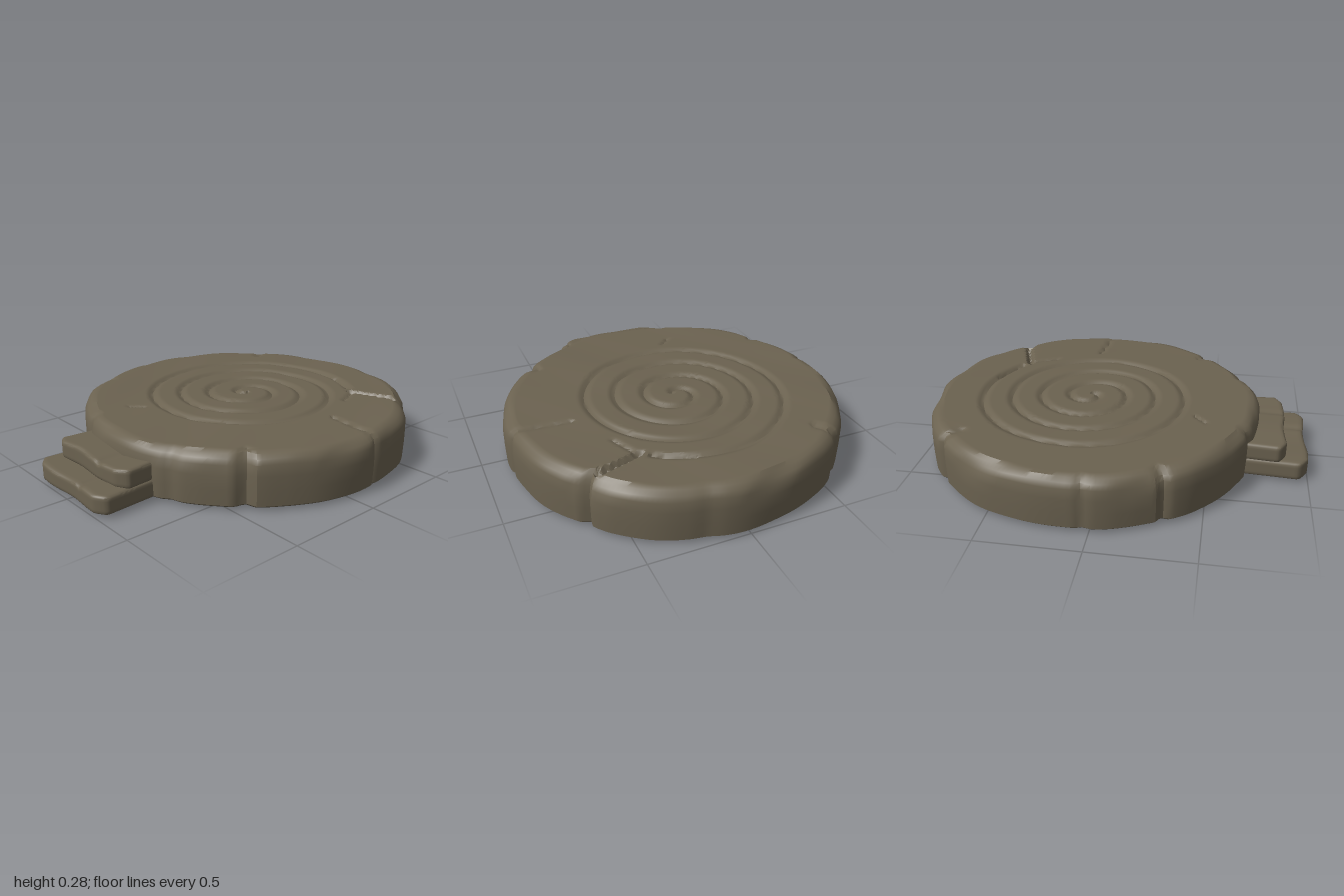
import * as THREE from 'three';
import { mergeVertices, toCreasedNormals } from 'three/addons/utils/BufferGeometryUtils.js';

const CZ = -0.125; // centre of the round slab along z
const SPIRAL = { x: -0.01, z: -0.15, pitch: 0.155, turns: 3.85 };

// Chips in the rim: x, z, depth, angular half width
const NOTCHES = [
  [0.67, -0.69, 0.03, 0.035], [0.87, -0.17, 0.012, 0.03], [0.65, 0.47, 0.035, 0.06],
  [0.36, 0.67, 0.012, 0.06], [-0.28, 0.72, 0.015, 0.05], [-0.76, 0.33, 0.025, 0.04],
  [-0.87, -0.03, 0.012, 0.04], [-0.57, -0.78, 0.022, 0.04], [0.2, -0.97, 0.006, 0.08],
].map(([x, z, depth, width]) => ({ a: Math.atan2(z - CZ, x), depth, width }));

// Cracks in the top: x1, z1, x2, z2, depth, half width
const CRACKS = [
  [0.36, -0.585, 0.70, -0.70, 0.035, 0.022], [0.57, -0.20, 0.90, -0.17, 0.014, 0.018],
  [0.14, -0.71, 0.28, -0.64, 0.014, 0.016], [-0.24, 0.48, -0.18, 0.42, 0.012, 0.014],
  [-0.59, -0.80, -0.50, -0.70, 0.018, 0.03], [0.68, 0.50, 0.58, 0.40, 0.018, 0.03],
  [-0.80, 0.36, -0.70, 0.28, 0.014, 0.03], [0.38, -0.58, 0.44, -0.44, 0.012, 0.018],
];

const vee = (d, w) => Math.max(0, 1 - Math.abs(d) / w);

function rimRadius(a) {
  let r = 0.872 + 0.004 * Math.sin(5 * a + 1) + 0.003 * Math.sin(11 * a) + 0.002 * Math.sin(17 * a + 2);
  for (const n of NOTCHES) {
    const d = Math.atan2(Math.sin(a - n.a), Math.cos(a - n.a));
    r -= n.depth * vee(d, n.width) + n.depth * 0.3 * vee(d, n.width * 4);
  }
  return r;
}

function segmentDistance(x, z, [x1, z1, x2, z2]) {
  const dx = x2 - x1, dz = z2 - z1;
  const t = THREE.MathUtils.clamp(((x - x1) * dx + (z - z1) * dz) / (dx * dx + dz * dz), 0, 1);
  return Math.hypot(x - x1 - t * dx, z - z1 - t * dz);
}

// Distance to the nearest turn of the spiral
function spiralDistance(x, z, turns) {
  const dx = x - SPIRAL.x, dz = z - SPIRAL.z;
  const r = Math.hypot(dx, dz);
  const f = (Math.atan2(dz, dx) / (2 * Math.PI) + 1) % 1;
  let best = 1;
  for (let t = f; t < turns; t += 1) best = Math.min(best, Math.abs(r - Math.min(SPIRAL.pitch * t, 0.575)));
  return best;
}

function topHeight(x, z) {
  let y = 0.275 + 0.003 * Math.sin(5 * x + 1) * Math.cos(6 * z) + 0.0015 * Math.sin(13 * x - 9 * z);
  y -= 0.016 * vee(spiralDistance(x, z, SPIRAL.turns), 0.03);
  for (const c of CRACKS) y -= c[4] * vee(segmentDistance(x, z, c), c[5]);
  return y;
}

// Low coil showing on the underside
function bottomHeight(x, z) {
  const r = Math.hypot(x + 0.02, z - CZ);
  return 0.012 - 0.012 * Math.max(vee(r - 0.075, 0.025), vee(r - 0.02, 0.02)) - 0.002 * vee(r - 0.15, 0.02);
}

function slabGeometry() {
  const N = 240;
  const rows = [];
  // Underside, from the centre out
  for (const r of [0, 0.02, 0.035, 0.05, 0.065, 0.075, 0.09, 0.105, 0.13, 0.15, 0.17, 0.5])
    rows.push((a, x, z) => [r, bottomHeight(Math.cos(a) * r, CZ + Math.sin(a) * r)]);
  // Wall and worn upper edge
  const wall = [[-0.012, 0.012], [0, 0.022], [0.003, 0.1], [0.003, 0.17], [0, 0.222], [-0.012, 0.248], [-0.034, 0.266]];
  wall.forEach(([dr, y], i) => rows.push((a) => {
    const worn = i > 3 ? 0.006 * Math.sin(7 * a + 1) + 0.004 * Math.sin(13 * a + i) : 0;
    return [rimRadius(a) + dr - Math.max(0, worn), y - worn * 0.6];
  }));
  // Carved top, from the rim to the centre
  const M = 76;
  for (let i = 0; i <= M; i++) {
    const k = 1 - i / M;
    rows.push((a) => {
      const r = k * (rimRadius(a) - 0.06);
      // inner rings become true circles
      const rr = THREE.MathUtils.lerp(k * 0.812, r, k * k * k);
      return [rr, topHeight(Math.cos(a) * rr, CZ + Math.sin(a) * rr)];
    });
  }
  const pos = [], index = [];
  for (const row of rows) for (let j = 0; j < N; j++) {
    const a = (j / N) * Math.PI * 2;
    const [r, y] = row(a);
    pos.push(Math.cos(a) * r, y, CZ + Math.sin(a) * r);
  }
  const last = rows.length - 2;
  for (let i = 0; i <= last; i++) for (let j = 0; j < N; j++) {
    const a = i * N + j, b = i * N + ((j + 1) % N), c = a + N, d = b + N;
    if (i < last) index.push(a, c, b);
    if (i > 0) index.push(b, c, d);
    else index.push(a, c, d);
    if (i === last) index.pop(), index.pop(), index.pop(), index.push(a, c, b);
  }
  const g = new THREE.BufferGeometry();
  g.setAttribute('position', new THREE.Float32BufferAttribute(pos, 3));
  g.setIndex(index);
  return toCreasedNormals(g, 0.6);
}

// Weathered stone block with rounded edges and a wavy front
function stepGeometry(w, y0, y1, z0, z1, seed) {
  const h = y1 - y0, d = z1 - z0, R = 0.016;
  let g = new THREE.BoxGeometry(w, h, d, 36, 8, 24);
  g.deleteAttribute('normal');
  g.deleteAttribute('uv');
  g = mergeVertices(g);
  const p = g.attributes.position, v = new THREE.Vector3(), inner = new THREE.Vector3();
  const half = new THREE.Vector3(w / 2 - R, h / 2 - R, d / 2 - R);
  for (let i = 0; i < p.count; i++) {
    v.fromBufferAttribute(p, i);
    inner.copy(v).clamp(half.clone().negate(), half);
    v.sub(inner).setLength(R).add(inner);
    const front = v.z / d + 0.5, up = v.y / h + 0.5;
    // sides flare towards the front, corners are knocked back
    v.x *= 0.92 + 0.08 * front;
    v.z -= front * (0.035 * vee(Math.abs(v.x) - w / 2, 0.06) + 0.006 * (1 + Math.sin(17 * v.x + seed)));
    v.y -= up * (0.004 * (1 + Math.sin(15 * v.x + seed * 2)) + 0.012 * vee(v.x - 0.1, 0.03) * front);
    p.setXYZ(i, v.x, v.y + (y0 + y1) / 2, v.z + (z0 + z1) / 2);
  }
  return toCreasedNormals(g, 0.7);
}

export function createModel() {
  const stone = new THREE.MeshStandardMaterial({ color: 0x6b6250 });
  stone.name = 'stone';
  const model = new THREE.Group();
  model.name = 'stonePlatform';
  const add = (name, geometry) => {
    const mesh = new THREE.Mesh(geometry, stone);
    mesh.name = name;
    model.add(mesh);
  };
  add('spiralSlab', slabGeometry());
  add('lowerStep', stepGeometry(0.59, 0.014, 0.108, 0.6, 1.0, 1));
  add('upperStep', stepGeometry(0.575, 0.1, 0.196, 0.58, 0.885, 3));
  return model;
}
